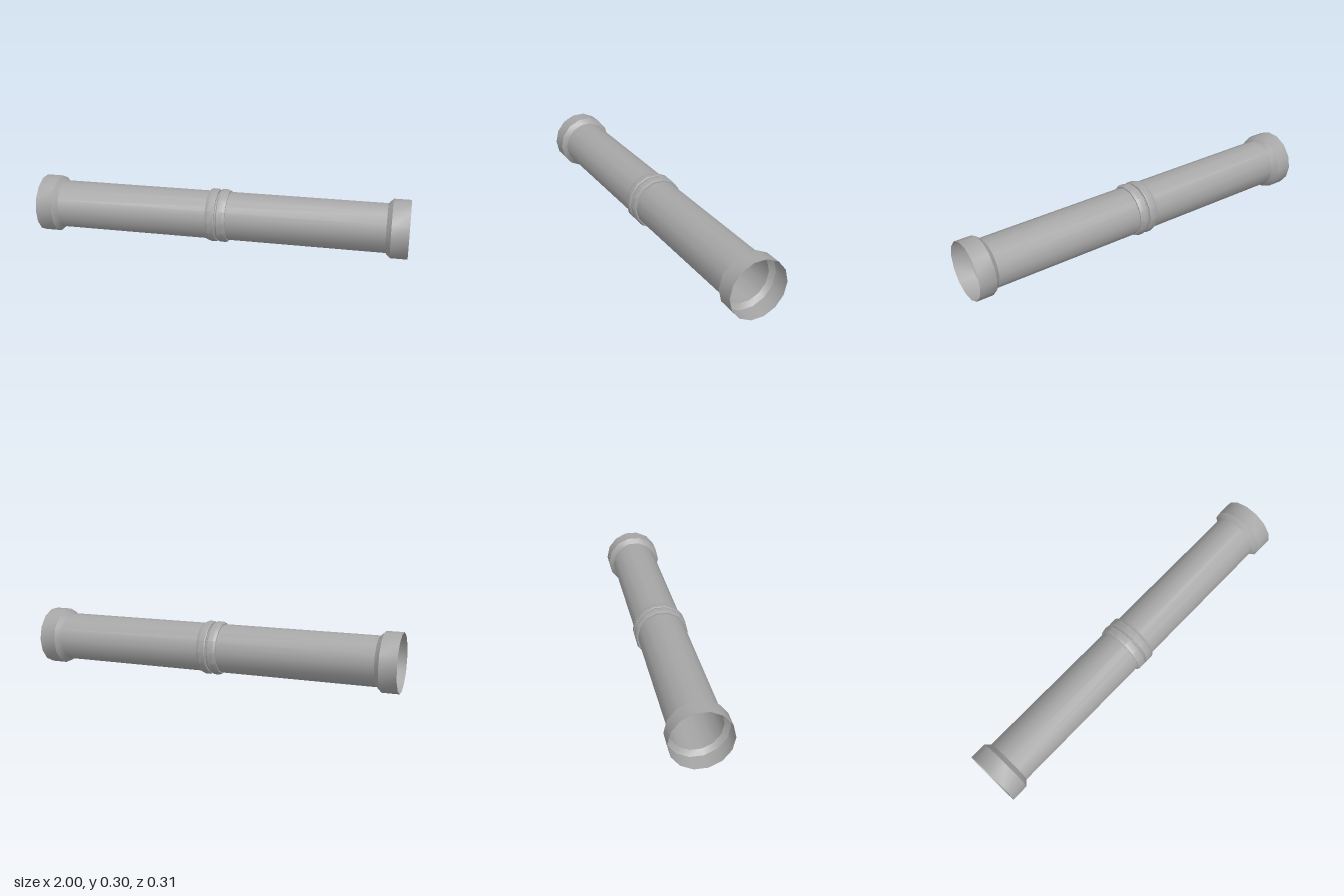
import * as THREE from 'three';
import { toCreasedNormals } from 'three/addons/utils/BufferGeometryUtils.js';

const SIDES = 14;
const PIPE = 0.13;   // pipe radius
const SOCKET = 0.155; // socket radius

export function createModel() {
  const group = new THREE.Group();
  group.name = 'pipeSection';

  const grey = new THREE.MeshStandardMaterial({ color: 0xa6a6a6, side: THREE.DoubleSide });
  grey.name = 'pipe grey';

  // Thin shell turned about the x axis from [x, radius] pairs, x rising
  function shell(name, profile) {
    const points = profile.map(([x, r]) => new THREE.Vector2(r, x));
    const lathe = new THREE.LatheGeometry(points, SIDES).rotateZ(-Math.PI / 2);
    const mesh = new THREE.Mesh(toCreasedNormals(lathe, 0.47), grey);
    mesh.name = name;
    mesh.position.y = SOCKET * Math.cos(Math.PI / SIDES);
    group.add(mesh);
  }

  // Mirrors a profile to the other end, keeping x rising
  const mirrored = (profile) => profile.map(([x, r]) => [-x, r]).reverse();

  // Straight open pipe
  shell('pipe', [[-0.89, PIPE], [0.89, PIPE]]);

  // Flared open sockets at both ends
  const socket = [[0.885, PIPE], [0.91, SOCKET], [1, SOCKET]];
  shell('leftSocket', socket);
  shell('rightSocket', mirrored(socket));

  // Two bevelled flanges meeting at a narrow groove
  const flange = [[0.004, PIPE], [0.004, 0.139], [0.01, 0.143], [0.04, 0.143], [0.054, 0.137], [0.054, PIPE]];
  shell('leftFlange', flange);
  shell('rightFlange', mirrored(flange));

  return group;
}
